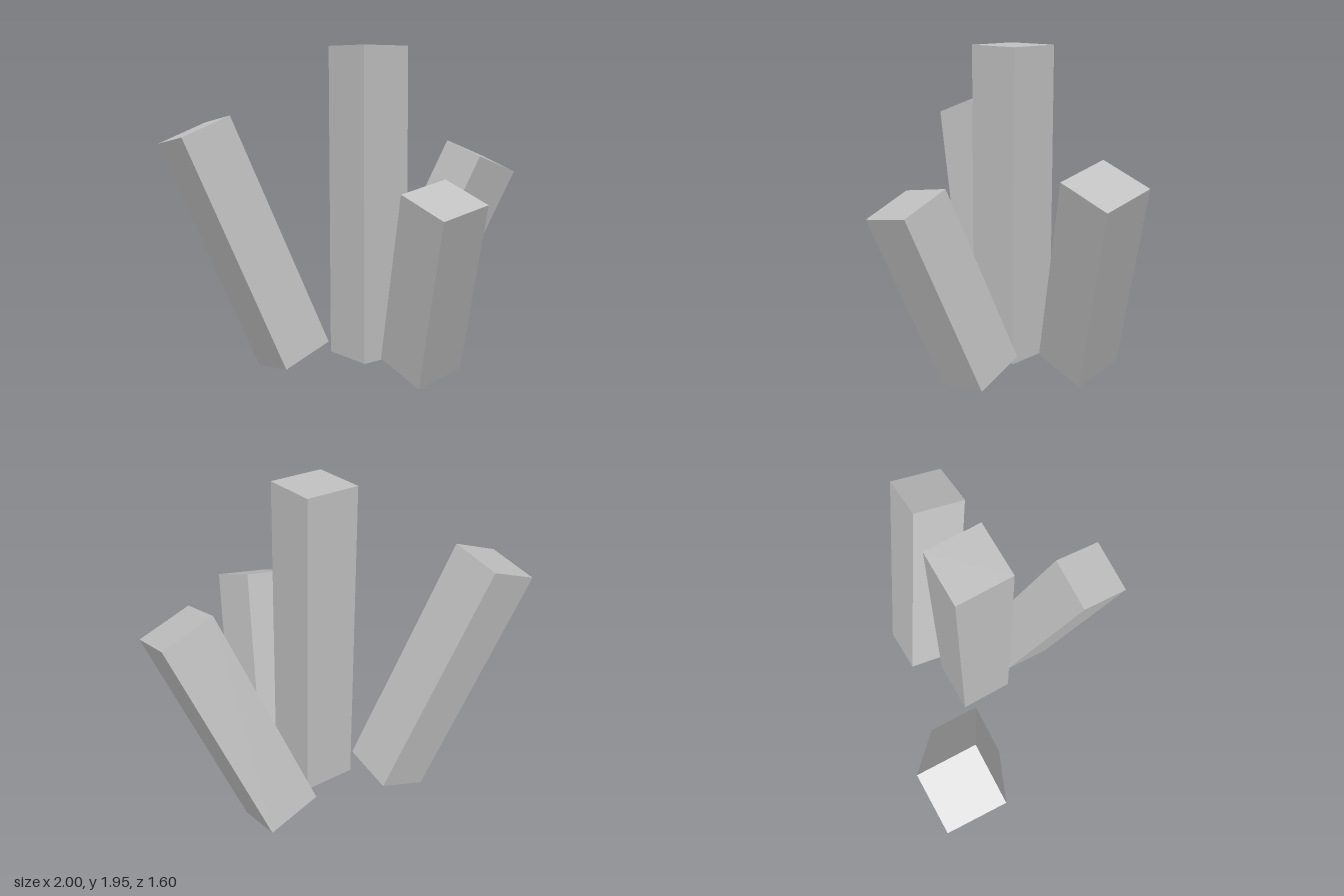
import * as THREE from 'three';

const WIDTH = 0.33;

// Square column with a closed top and an open bottom
function openColumn(height) {
  const geo = new THREE.BoxGeometry(WIDTH, height, WIDTH);
  const index = Array.from(geo.index.array);
  index.splice(18, 6); // drop the bottom face
  geo.setIndex(index);
  geo.clearGroups();
  return geo;
}

export function createModel() {
  const group = new THREE.Group();
  group.name = 'crystalCluster';

  const stone = new THREE.MeshStandardMaterial({ color: 0xc0c0c0, side: THREE.DoubleSide });
  stone.name = 'grey stone';

  // name, height, centre, tilt about x and z in degrees
  const columns = [
    ['centreColumn', 1.85, [0.03, 1.025, -0.107], 0, 0],
    ['backRightColumn', 1.48, [-0.585, 0.785, -0.51], -10, 20],
    ['leftColumn', 1.295, [0.615, 0.685, -0.125], 15, -20],
    ['frontColumn', 1.11, [0.032, 0.615, 0.452], 20, 10],
  ];

  for (const [name, height, centre, tiltX, tiltZ] of columns) {
    const column = new THREE.Mesh(openColumn(height), stone);
    column.name = name;
    column.position.set(...centre);
    column.rotation.set(
      THREE.MathUtils.degToRad(tiltX), 0, THREE.MathUtils.degToRad(tiltZ), 'ZYX');
    group.add(column);
  }
  return group;
}
